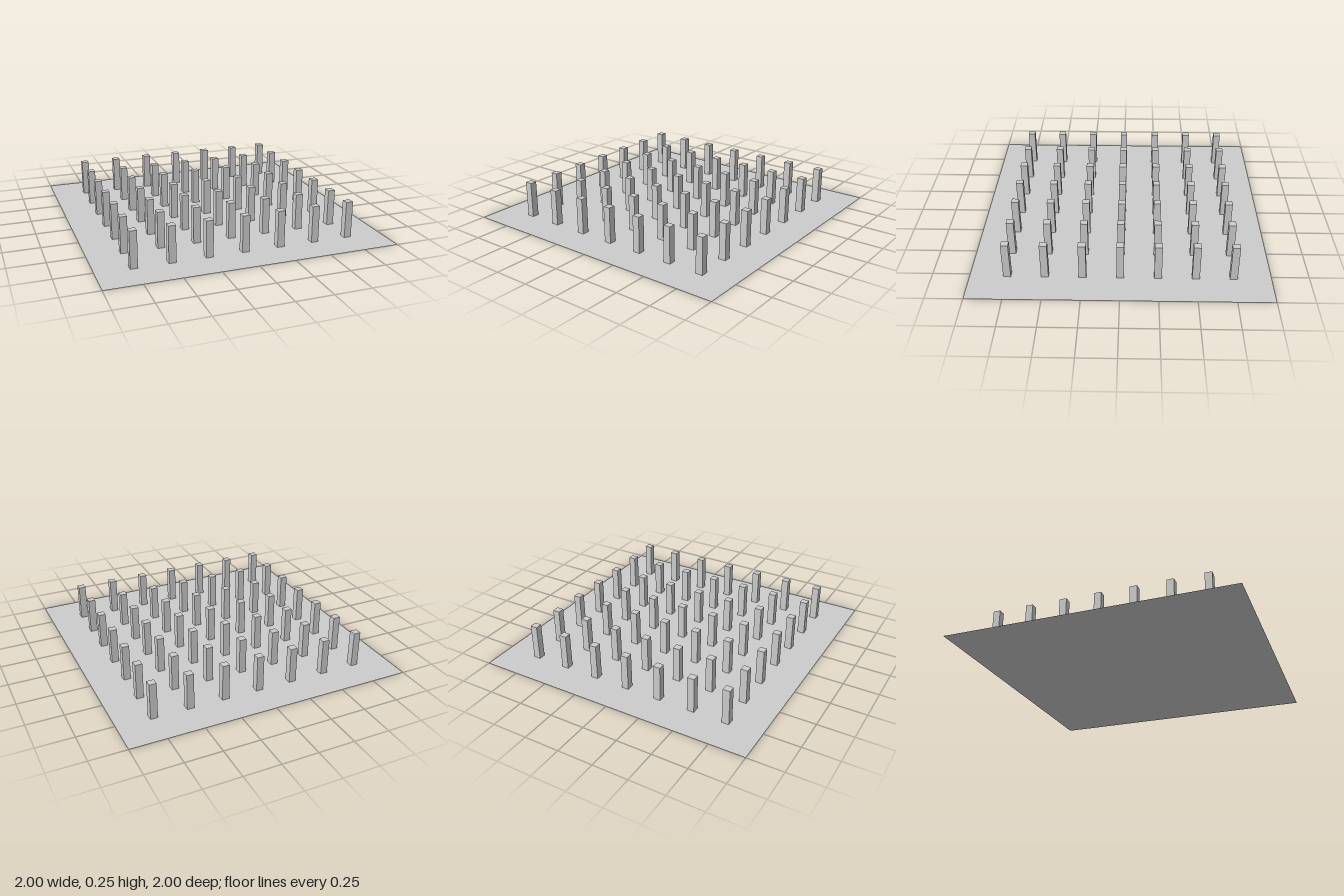
import * as THREE from 'three';

export function createModel() {
  const group = new THREE.Group();
  group.name = 'postField';
  const material = new THREE.MeshStandardMaterial({ color: 0xcccccc });

  // Thin square ground sheet
  const sheetGeometry = new THREE.PlaneGeometry(2, 2).rotateX(-Math.PI / 2);
  const sheetMaterial = new THREE.MeshStandardMaterial({ color: 0xcccccc, side: THREE.DoubleSide });
  const sheet = new THREE.Mesh(sheetGeometry, sheetMaterial);
  sheet.name = 'groundSheet';
  group.add(sheet);

  // Seven by seven grid of square posts standing on the sheet
  const count = 7, spacing = 0.25, width = 0.05, height = 0.255;
  const postGeometry = new THREE.BoxGeometry(width, height, width).translate(0, height / 2, 0);
  const posts = new THREE.Group();
  posts.name = 'posts';
  for (let row = 0; row < count; row++) {
    for (let column = 0; column < count; column++) {
      const post = new THREE.Mesh(postGeometry, material);
      post.name = `post_${row + 1}_${column + 1}`;
      post.position.set((column - (count - 1) / 2) * spacing, 0, (row - (count - 1) / 2) * spacing);
      posts.add(post);
    }
  }
  group.add(posts);

  return group;
}
